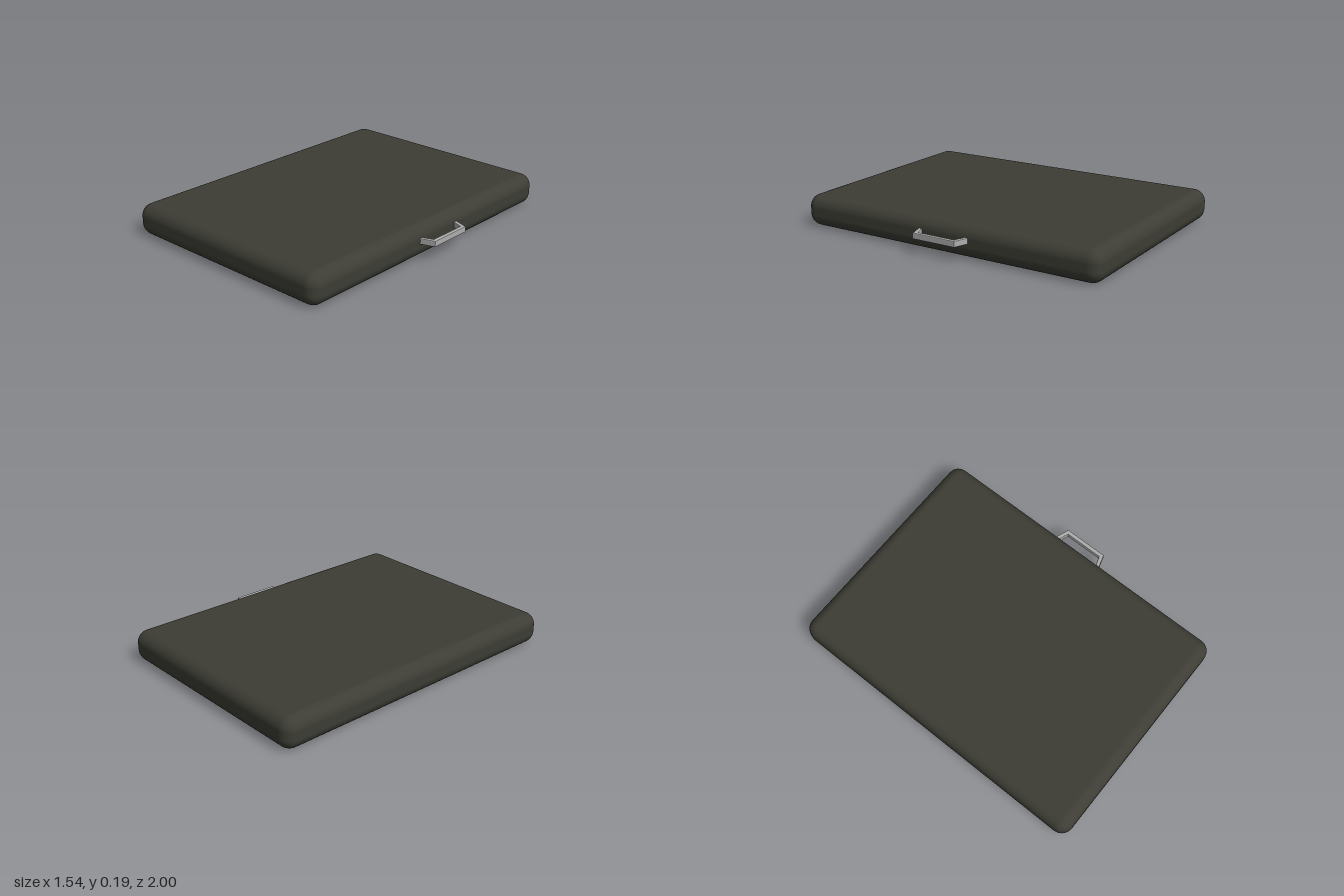
import * as THREE from 'three';
import { RoundedBoxGeometry } from 'three/addons/geometries/RoundedBoxGeometry.js';

export function createModel() {
  const group = new THREE.Group();
  const bodyMat = new THREE.MeshStandardMaterial({ color: 0x3d3d35 });
  bodyMat.name = 'darkOlive';
  const metalMat = new THREE.MeshStandardMaterial({ color: 0xadadad });
  metalMat.name = 'lightGrey';

  // Flat slab with rounded edges
  const body = new THREE.Mesh(new RoundedBoxGeometry(1.45, 0.195, 2, 5, 0.075), bodyMat);
  body.name = 'body';
  body.position.set(-0.043, 0.0975, 0);
  group.add(body);

  // Bent bar handle on the left side, outlined as [x, z] and extruded upward
  const bevel = 0.005;
  const outline = [
    [0.65, -0.194], [0.682, -0.184], [0.763, -0.156], [0.763, 0.118], [0.682, 0.142], [0.65, 0.151],
    [0.65, 0.137], [0.682, 0.128], [0.747, 0.106], [0.747, -0.144], [0.682, -0.168], [0.65, -0.178],
  ];
  const shape = new THREE.Shape(outline.map(([x, z]) => new THREE.Vector2(x, -z)));
  const handleGeo = new THREE.ExtrudeGeometry(shape, {
    depth: 0.027, bevelEnabled: true, bevelSize: bevel, bevelThickness: bevel, bevelSegments: 2,
  });
  handleGeo.rotateX(-Math.PI / 2);
  const handle = new THREE.Mesh(handleGeo, metalMat);
  handle.name = 'handle';
  handle.position.y = 0.098;
  group.add(handle);

  return group;
}
